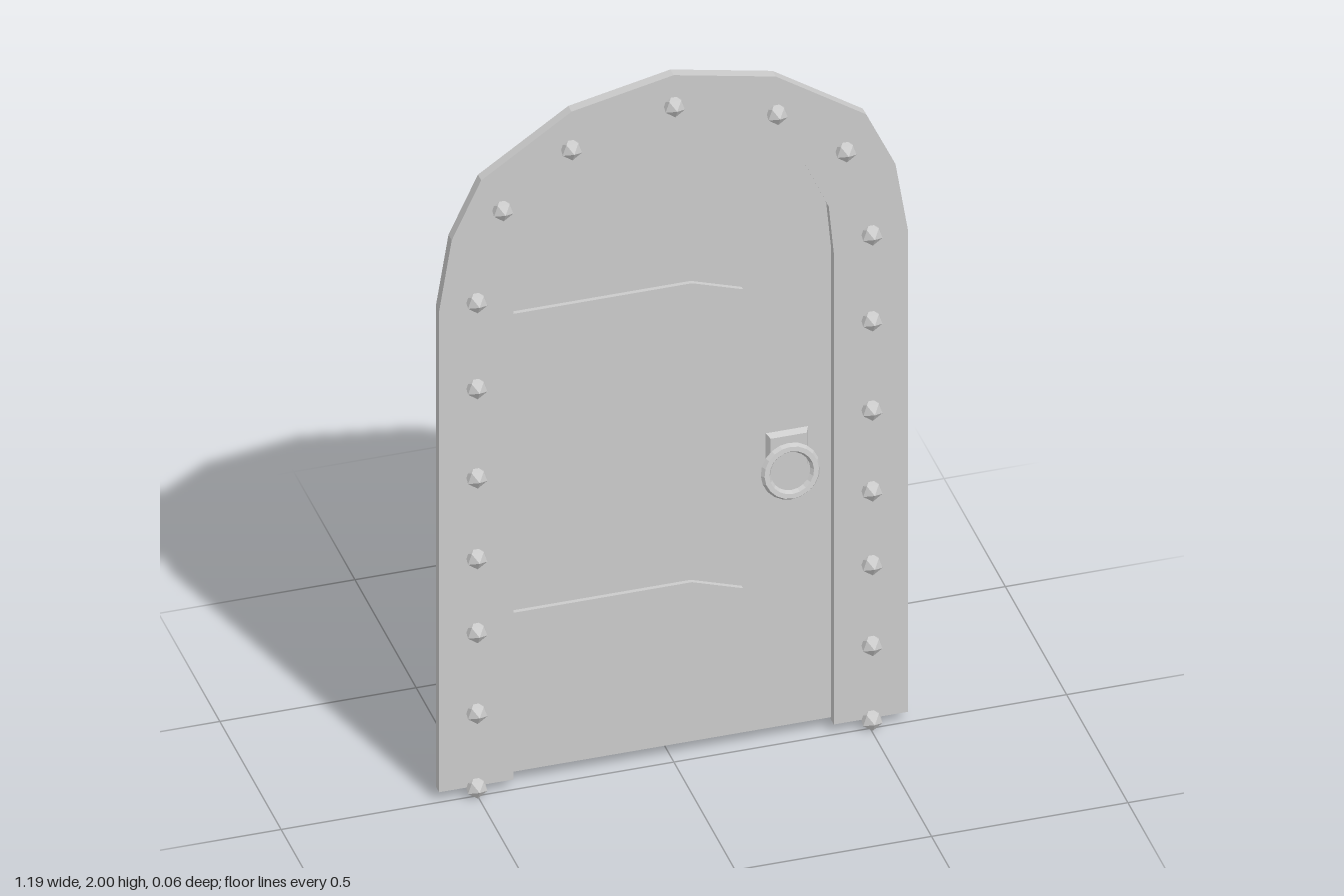
import * as THREE from 'three';

const BACK = -0.0285; // shared back plane of frame and panel

export function createModel() {
  const door = new THREE.Group();
  door.name = 'archedDoor';
  const mat = new THREE.MeshStandardMaterial({ color: 0xcccccc, flatShading: true });

  const add = (name, geometry, parent = door) => {
    const mesh = new THREE.Mesh(geometry, mat);
    mesh.name = name;
    parent.add(mesh);
    return mesh;
  };
  const slab = (points, depth) => new THREE.ExtrudeGeometry(
    new THREE.Shape(points.map(([x, y]) => new THREE.Vector2(x, y))),
    { depth, bevelEnabled: false }).translate(0, 0, BACK);
  // Full outline from its right half, listed bottom to crown
  const mirror = (half) => [...half, ...half.slice(0, -1).reverse().map(([x, y]) => [-x, y])];

  // Arched frame, open at the bottom
  const outer = mirror([[0.597, 0.03], [0.597, 1.43], [0.565, 1.63], [0.49, 1.79], [0.26, 1.945], [0, 2]]);
  const arch = [[0.408, 1.4], [0.395, 1.54], [0.335, 1.675], [0.2, 1.78], [0, 1.82]];
  const inner = mirror([[0.408, 0.03], ...arch]);
  add('frame', slab([...outer, ...inner.reverse()], 0.0265));

  // Thin recessed door leaf
  add('doorPanel', slab(mirror([[0.408, 0.038], ...arch]), 0.005));

  // Hinge straps with slanted tips
  for (const y of [0.465, 1.335]) {
    add('hingeStrap', slab([[-0.408, y], [0.18, y], [0.05, y + 0.043], [-0.408, y + 0.043]], 0.016));
  }

  // Rivets: icosahedra with one corner pointing forward
  const rivet = new THREE.IcosahedronGeometry(0.029, 0);
  rivet.rotateX(Math.atan(2 / (1 + Math.sqrt(5))));
  const spots = [0.028, 0.245, 0.48, 0.695, 0.93, 1.19, 1.44].map((y) => [0.503, y]);
  spots.push([0.437, 1.695], [0.262, 1.838]);
  for (const [x, y] of spots) {
    for (const side of [-1, 1]) add('rivet', rivet).position.set(side * x, y, -0.001);
  }
  add('rivet', rivet).position.set(0, 1.912, -0.001);

  // Handle: bevelled back plate and a ring hanging outward
  const handle = new THREE.Group();
  handle.name = 'handle';
  handle.position.set(0.295, 0, 0);
  door.add(handle);
  const plate = new THREE.CylinderGeometry(0.046 * Math.SQRT2, 0.056 * Math.SQRT2, 0.02, 4);
  plate.rotateY(Math.PI / 4).rotateX(Math.PI / 2);
  add('handlePlate', plate, handle).position.set(0, 0.843, -0.018);
  const ring = add('handleRing', new THREE.TorusGeometry(0.063, 0.0125, 6, 20), handle);
  ring.position.set(0, 0.795, 0.006);
  ring.rotation.x = -0.16;

  return door;
}
